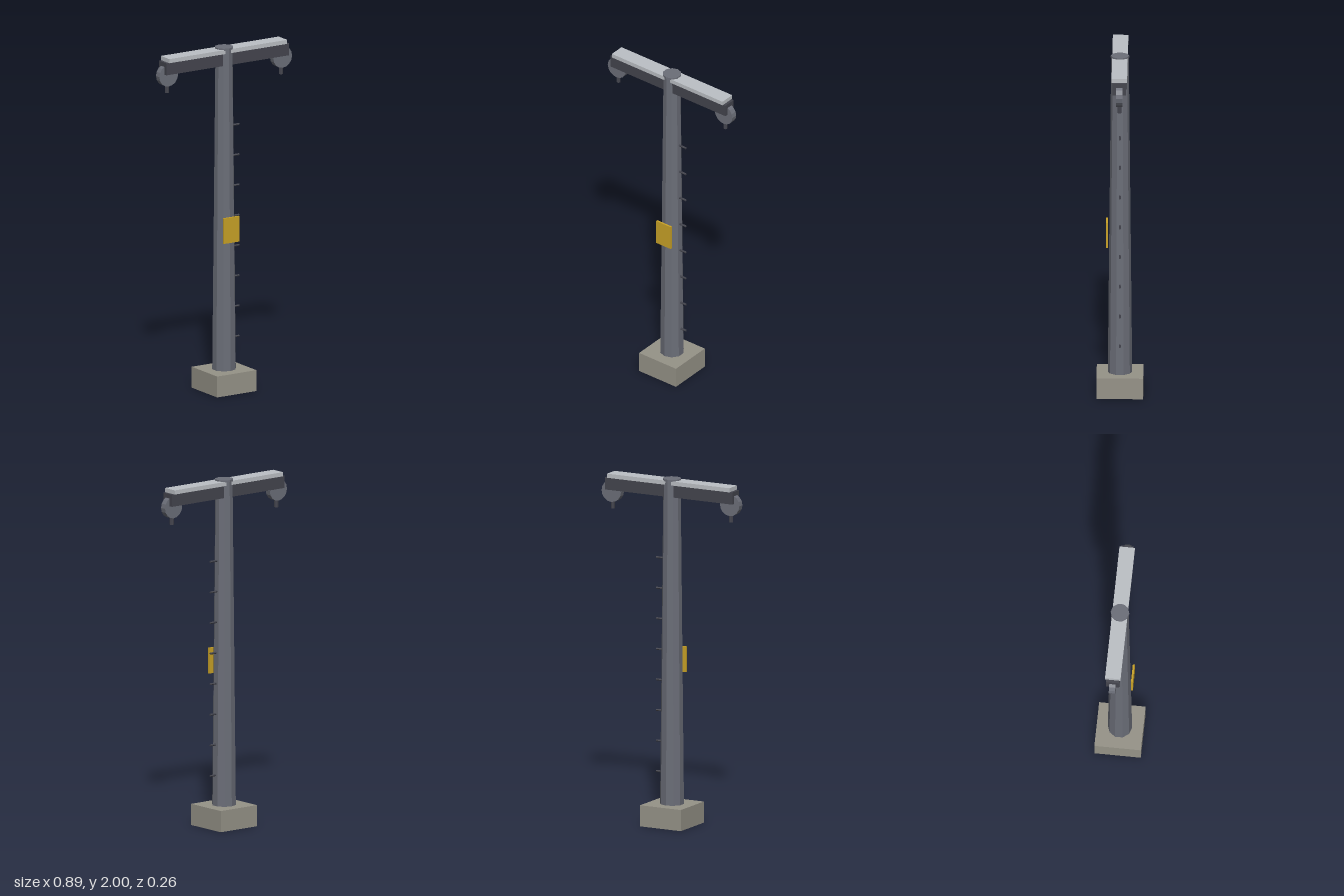
import * as THREE from 'three';

const paint = (name, color) => {
  const m = new THREE.MeshStandardMaterial({ color });
  m.name = name;
  return m;
};

export function createModel() {
  const steel = paint('steel grey', 0x6b6e78);
  const dark = paint('dark steel', 0x44454e);
  const light = paint('light grey', 0xbcc0c5);
  const yellow = paint('sign yellow', 0xc9a227);
  const concrete = paint('concrete', 0x969388);

  const group = new THREE.Group();
  const add = (name, geometry, material, x, y, z = 0) => {
    const mesh = new THREE.Mesh(geometry, material);
    mesh.name = name;
    mesh.position.set(x, y, z);
    group.add(mesh);
    return mesh;
  };
  const box = (w, h, d) => new THREE.BoxGeometry(w, h, d);
  // Faceted cylinder with flat normals
  const prism = (top, bottom, h, sides) =>
    new THREE.CylinderGeometry(top, bottom, h, sides).toNonIndexed();
  const flat = (g) => { g.computeVertexNormals(); return g; };

  // Footing and tapered ten-sided mast
  add('footing', box(0.264, 0.122, 0.264), concrete, 0, 0.061);
  add('mast', flat(prism(0.05, 0.069, 1.87, 10)), steel, 0, 1.055);
  add('mastCap', flat(prism(0.053, 0.053, 0.012, 10)), steel, 0, 1.994);

  // Cross arm with its light cover
  add('crossArm', box(0.826, 0.07, 0.076), dark, 0, 1.933);
  add('armCover', box(0.794, 0.024, 0.088), light, 0, 1.98);

  // Pulley wheel and hanging pin at each end
  for (const side of [-1, 1]) {
    const wheel = flat(prism(0.063, 0.063, 0.036, 16)).rotateX(Math.PI / 2);
    add('pulleyWheel', wheel, steel, side * 0.384, 1.888);
    add('pulleyPin', flat(prism(0.012, 0.012, 0.06, 8)), dark, side * 0.384, 1.816);
  }

  // Climbing pegs up one side
  for (let i = 0; i < 8; i++) {
    const peg = flat(prism(0.006, 0.006, 0.06, 6)).rotateZ(Math.PI / 2);
    add('climbingPeg', peg, dark, 0.071, 0.299 + i * 0.1764);
  }

  // Warning plate on the front
  add('warningPlate', box(0.104, 0.148, 0.011), yellow, 0, 0.946, 0.073);

  return group;
}
